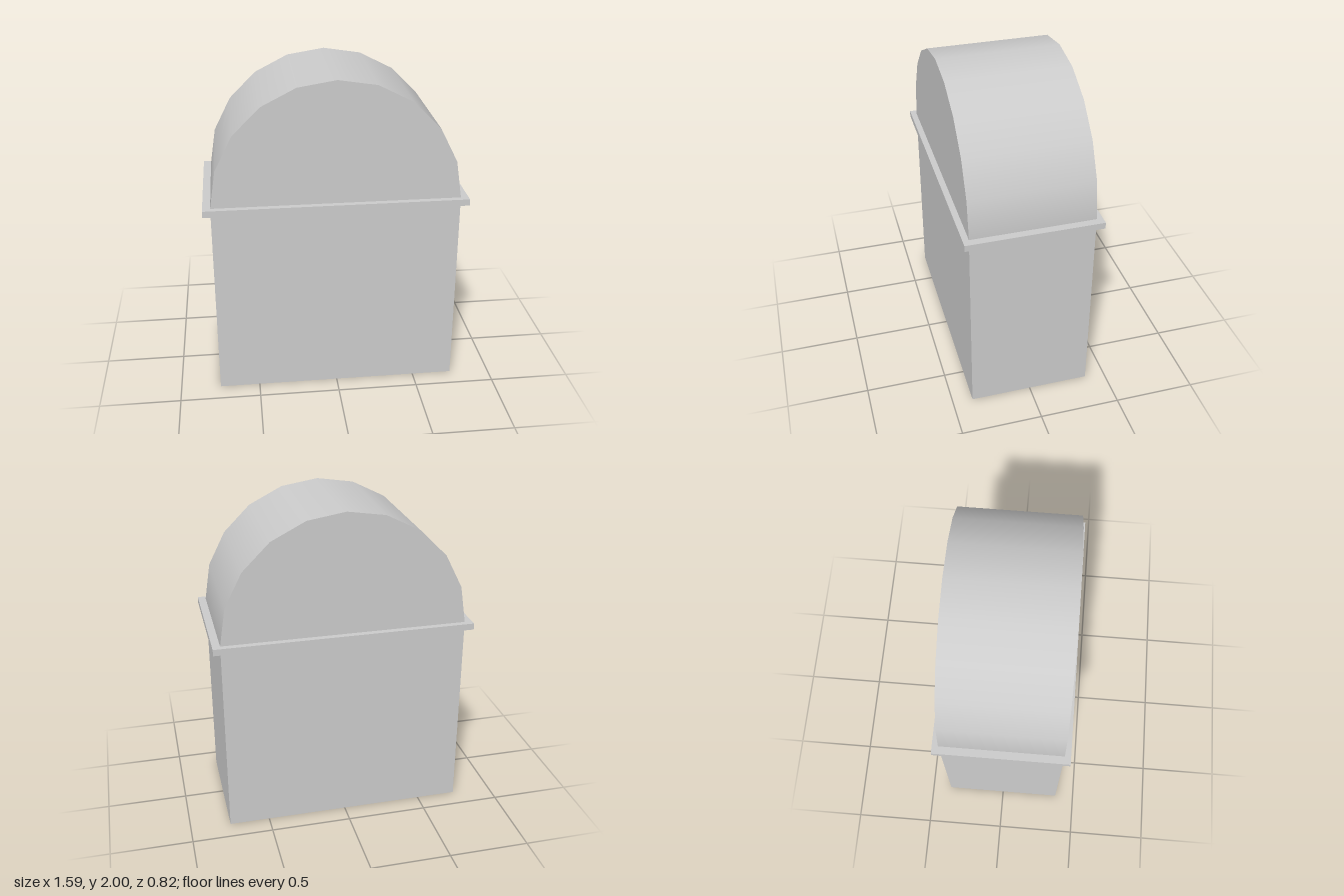
import * as THREE from 'three';

const HALF_W = 0.75, HALF_D = 0.375; // body half width and half depth
const BODY_TOP = 1.21, ARCH_BASE = 1.25;

export function createModel() {
  const model = new THREE.Group();
  const material = new THREE.MeshStandardMaterial({ color: 0xcccccc, side: THREE.DoubleSide });

  const add = (name, geometry, parent = model) => {
    const mesh = new THREE.Mesh(geometry, material);
    mesh.name = name;
    parent.add(mesh);
    return mesh;
  };
  const group = (name) => {
    const g = new THREE.Group();
    g.name = name;
    model.add(g);
    return g;
  };
  const rectangle = (Type, hw, hd) => new Type([
    new THREE.Vector2(-hw, -hd), new THREE.Vector2(hw, -hd),
    new THREE.Vector2(hw, hd), new THREE.Vector2(-hw, hd),
  ]);

  // Body: four thin walls, open at the bottom
  const body = group('body');
  ['frontWall', 'leftWall', 'backWall', 'rightWall'].forEach((name, i) => {
    const side = i % 2 === 1;
    const wall = new THREE.PlaneGeometry(2 * (side ? HALF_D : HALF_W), BODY_TOP);
    wall.translate(0, BODY_TOP / 2, side ? HALF_W : HALF_D).rotateY(i * Math.PI / 2);
    add(name, wall, body);
  });

  // Ledge: a flat rectangular rim around the top of the body
  const rim = rectangle(THREE.Shape, 0.797, 0.412);
  rim.holes.push(rectangle(THREE.Path, HALF_W, HALF_D));
  const ledge = new THREE.ExtrudeGeometry(rim, { depth: ARCH_BASE - BODY_TOP, bevelEnabled: false });
  add('ledge', ledge.rotateX(-Math.PI / 2).translate(0, BODY_TOP, 0));

  // Arched top: smooth half barrel of ten facets with flat ends
  const arch = group('archedTop');
  arch.position.y = ARCH_BASE;
  const barrel = new THREE.CylinderGeometry(HALF_W, HALF_W, 2 * HALF_D, 10, 1, true, Math.PI / 2, Math.PI);
  add('barrel', barrel.rotateX(Math.PI / 2), arch);
  ['frontEnd', 'backEnd'].forEach((name, i) => {
    const end = new THREE.CircleGeometry(HALF_W, 10, 0, Math.PI);
    add(name, end.translate(0, 0, HALF_D).rotateY(i * Math.PI), arch);
  });

  return model;
}
